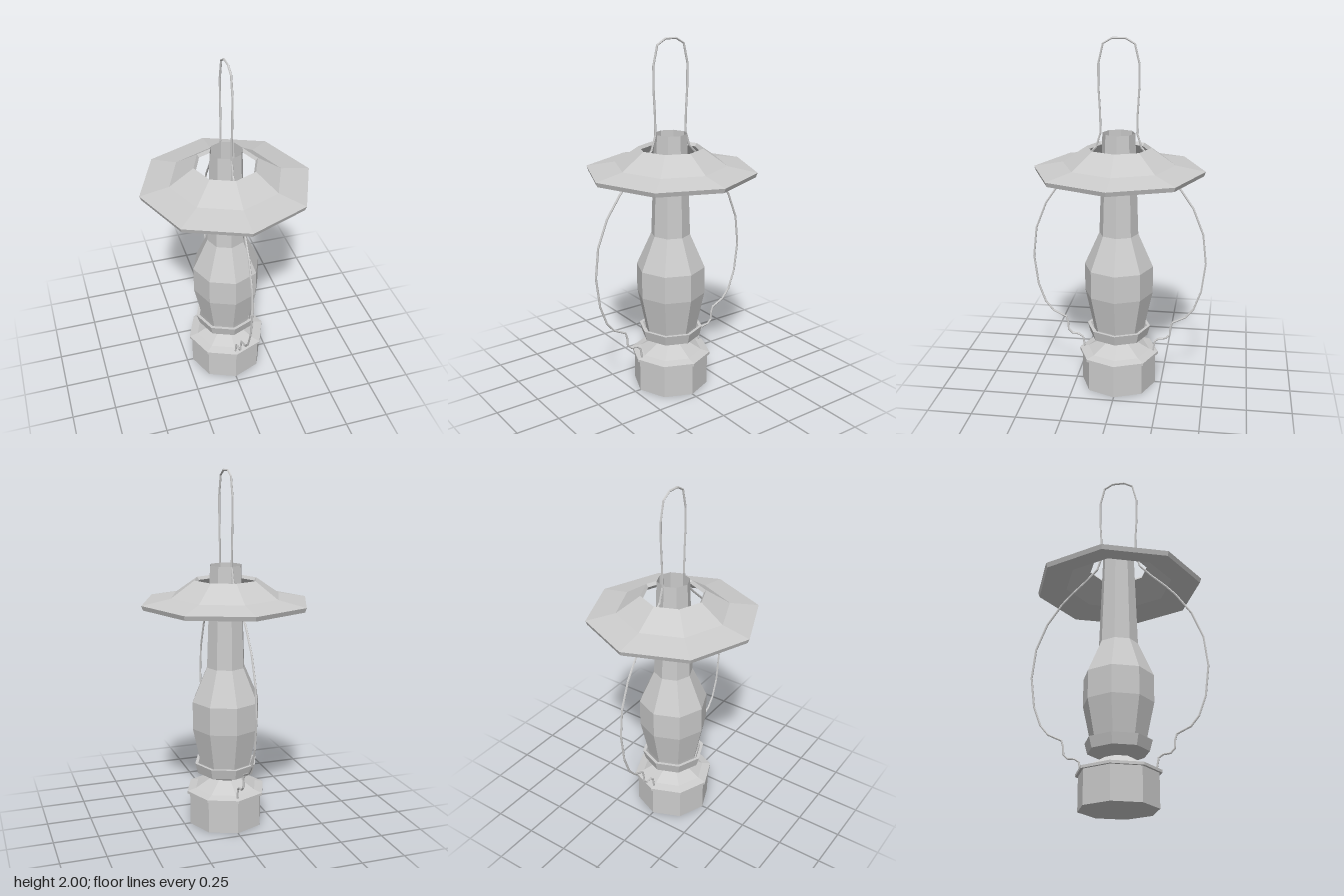
import * as THREE from 'three';

const SIDES = 8;
const metal = new THREE.MeshStandardMaterial({
  color: 0xcccccc, flatShading: true, side: THREE.DoubleSide,
});

// Faceted octagonal part turned from a [radius, height] profile
function turned(name, profile) {
  const points = profile.map(([r, y]) => new THREE.Vector2(r, y));
  const geometry = new THREE.LatheGeometry(points, SIDES).toNonIndexed();
  geometry.computeVertexNormals();
  const mesh = new THREE.Mesh(geometry, metal);
  mesh.name = name;
  return mesh;
}

// Path of straight pieces, so that the wire keeps its bends
class BentPath extends THREE.Curve {
  constructor(points) {
    super();
    this.points = points;
  }
  getPoint(t, target = new THREE.Vector3()) {
    const last = this.points.length - 1;
    const i = Math.min(Math.floor(t * last + 1e-9), last - 1);
    return target.lerpVectors(this.points[i], this.points[i + 1], t * last - i);
  }
  getPointAt(t, target) { return this.getPoint(t, target); }
  getTangentAt(t, target) { return this.getTangent(t, target); }
}

export function createModel() {
  const lantern = new THREE.Group();
  lantern.name = 'oilLantern';

  // Fuel tank with a thin rim and a sloping lid
  lantern.add(turned('tank', [
    [0, 0], [0.215, 0], [0.215, 0.185], [0.23, 0.185], [0.23, 0.2],
    [0.18, 0.212], [0.08, 0.27], [0, 0.27],
  ]));

  // Flared burner cup that holds the glass
  lantern.add(turned('burner', [
    [0, 0.265], [0.08, 0.265], [0.167, 0.303], [0.183, 0.362],
    [0.165, 0.362], [0.15, 0.315], [0.05, 0.285], [0, 0.285],
  ]));

  // Chimney, open at the top
  lantern.add(turned('chimney', [
    [0.145, 0.33], [0.15, 0.36], [0.195, 0.57], [0.195, 0.727],
    [0.11, 0.92], [0.09, 1.49],
  ]));

  // Wide shade with a hole around the chimney
  lantern.add(turned('shade', [
    [0.165, 1.395], [0.305, 1.3], [0.466, 1.265], [0.475, 1.29],
    [0.312, 1.32], [0.178, 1.412], [0.165, 1.395],
  ]));

  // Wire handle: one half as [z, y], mirrored to the other side
  const half = [
    [0.2, 0.2], [0.212, 0.265], [0.235, 0.282], [0.275, 0.287], [0.297, 0.31],
    [0.3, 0.355], [0.31, 0.388], [0.385, 0.425], [0.43, 0.48], [0.47, 0.59],
    [0.491, 0.76], [0.472, 0.93], [0.413, 1.08], [0.33, 1.2], [0.275, 1.26],
    [0.19, 1.34], [0.125, 1.41], [0.1, 1.49], [0.102, 1.6], [0.11, 1.74],
    [0.11, 1.86], [0.085, 1.965], [0.035, 1.994],
  ];
  const wire = [...half, ...half.map(([z, y]) => [-z, y]).reverse()]
    .map(([z, y]) => new THREE.Vector3(0, y, z));
  const tube = new THREE.TubeGeometry(new BentPath(wire), wire.length - 1, 0.006, 6).toNonIndexed();
  tube.computeVertexNormals();
  const handle = new THREE.Mesh(tube, metal);
  handle.name = 'handle';
  lantern.add(handle);

  return lantern;
}
